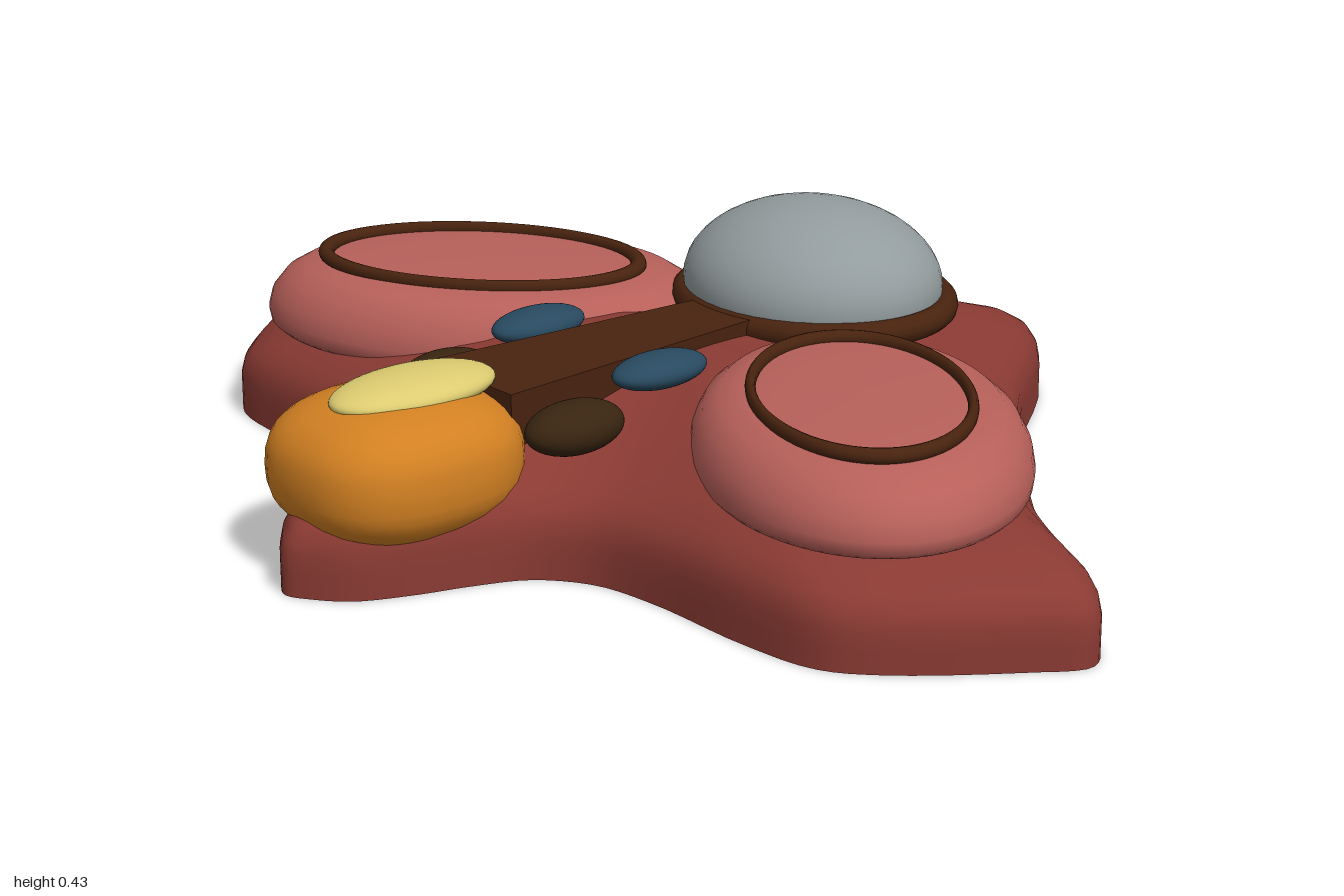
import * as THREE from 'three';

const mat = (name, color) => new THREE.MeshStandardMaterial({ name, color });

export function createModel() {
  const model = new THREE.Group();
  const red = mat('hull red', 0x8a3a33);
  const pink = mat('pod pink', 0xb8605a);
  const grey = mat('dome grey', 0x929b9d);
  const brown = mat('trim brown', 0x48230f);
  const dark = mat('knob brown', 0x382410);
  const blue = mat('light blue', 0x28495f);
  const orange = mat('head orange', 0xd28022);
  const yellow = mat('crest yellow', 0xdccb70);

  const add = (name, geometry, material, x = 0, y = 0, z = 0) => {
    const mesh = new THREE.Mesh(geometry, material);
    mesh.name = name;
    mesh.position.set(x, y, z);
    model.add(mesh);
    return mesh;
  };
  const ellipsoid = (rx, ry, rz) => new THREE.SphereGeometry(1, 40, 24).scale(rx, ry, rz);
  // Flat ring lying in the ground plane
  const ring = (rx, rz, tube, flat = 1) =>
    new THREE.TorusGeometry(1, tube / rx, 12, 64).rotateX(Math.PI / 2).scale(rx, rx * flat, rz);

  add('hull', hullGeometry(), red);

  // Canopy dome and its collar
  add('dome', ellipsoid(0.235, 0.14, 0.21), grey, 0, 0.285, -0.29);
  add('domeCollar', ring(0.238, 0.21, 0.023), brown, 0, 0.255, -0.295);

  // Spine: a box that widens towards the front
  const spine = new THREE.BoxGeometry(2, 0.12, 0.56);
  const p = spine.attributes.position;
  for (let i = 0; i < p.count; i++) p.setX(i, p.getX(i) * (p.getZ(i) > 0 ? 0.11 : 0.07));
  spine.computeVertexNormals();
  add('spine', spine, brown, 0, 0.213, 0.17);

  // Head: a slightly squared ellipsoid with a crest on top
  const head = new THREE.SphereGeometry(1, 32, 20);
  const h = head.attributes.position;
  const square = (v) => Math.sign(v) * Math.abs(v) ** 0.78;
  for (let i = 0; i < h.count; i++) {
    h.setXYZ(i, square(h.getX(i)) * 0.178, square(h.getY(i)) * 0.113, square(h.getZ(i)) * 0.195);
  }
  head.computeVertexNormals();
  add('head', head, orange, 0, 0.173, 0.595);
  add('crest', ellipsoid(0.083, 0.032, 0.15), yellow, 0, 0.279, 0.558);

  // Paired parts
  const podProfile = [
    [0, 0.155], [0.96, 0.155], [0.99, 0.165], [1, 0.185], [0.98, 0.215],
    [0.92, 0.245], [0.83, 0.266], [0.7, 0.277], [0.4, 0.283], [0, 0.285],
  ].map(([r, y]) => new THREE.Vector2(r, y));
  for (const [side, s] of [['left', 1], ['right', -1]]) {
    const turn = -s * 0.62;
    const pod = add(side + 'Pod', new THREE.LatheGeometry(podProfile, 64).scale(0.4, 1, 0.267), pink, s * 0.47, 0, 0.042);
    pod.rotation.y = turn;
    const trim = add(side + 'PodRing', ring(0.28, 0.17, 0.014, 0.9), brown, s * 0.48, 0.282, 0.052);
    trim.rotation.y = turn;
    add(side + 'Light', ellipsoid(0.051, 0.028, 0.09), blue, s * 0.155, 0.268, 0.185);
    add(side + 'Knob', ellipsoid(0.057, 0.042, 0.09), dark, s * 0.165, 0.216, 0.368);
  }
  return model;
}

// Four-pointed outline, swept upward in shrinking rings
function hullGeometry() {
  const half = [
    [0.09, -0.765], [0.28, -0.52], [0.5, -0.305], [0.7, -0.13], [0.86, -0.035], [0.965, 0.02],
    [1, 0.075], [0.95, 0.16], [0.82, 0.325], [0.74, 0.385], [0.6, 0.405], [0.4, 0.405],
    [0.28, 0.425], [0.2, 0.485], [0.16, 0.57], [0.13, 0.66], [0.09, 0.745], [0.04, 0.79],
  ];
  const mirrored = half.map(([x, z]) => [-x, z]).reverse();
  const points = [[0, -0.812], ...half, [0, 0.81], ...mirrored]
    .map(([x, z]) => new THREE.Vector3(x, 0, z));
  const outline = new THREE.CatmullRomCurve3(points, true).getPoints(160).slice(0, -1);
  const n = outline.length;

  // [scale, height]; the second and third rings split the sharp floor edge
  const rings = [
    [0, 0], [1, 0], [1, 0], [1, 0.035], [1, 0.065], [0.992, 0.09], [0.97, 0.113], [0.92, 0.136],
    [0.83, 0.16], [0.72, 0.183], [0.6, 0.205], [0.45, 0.226], [0.3, 0.241], [0.15, 0.25], [0, 0.253],
  ];
  const positions = rings.flatMap(([s, y]) => outline.flatMap((v) => [v.x * s, y, v.z * s]));
  const index = [];
  for (let r = 0; r < rings.length - 1; r++) {
    if (r === 1) continue;
    for (let i = 0; i < n; i++) {
      const j = (i + 1) % n;
      const a = r * n + i, b = r * n + j, c = a + n, d = b + n;
      index.push(a, c, b, b, c, d);
    }
  }
  const geometry = new THREE.BufferGeometry();
  geometry.setAttribute('position', new THREE.Float32BufferAttribute(positions, 3));
  geometry.setIndex(index);
  geometry.computeVertexNormals();
  return geometry;
}
